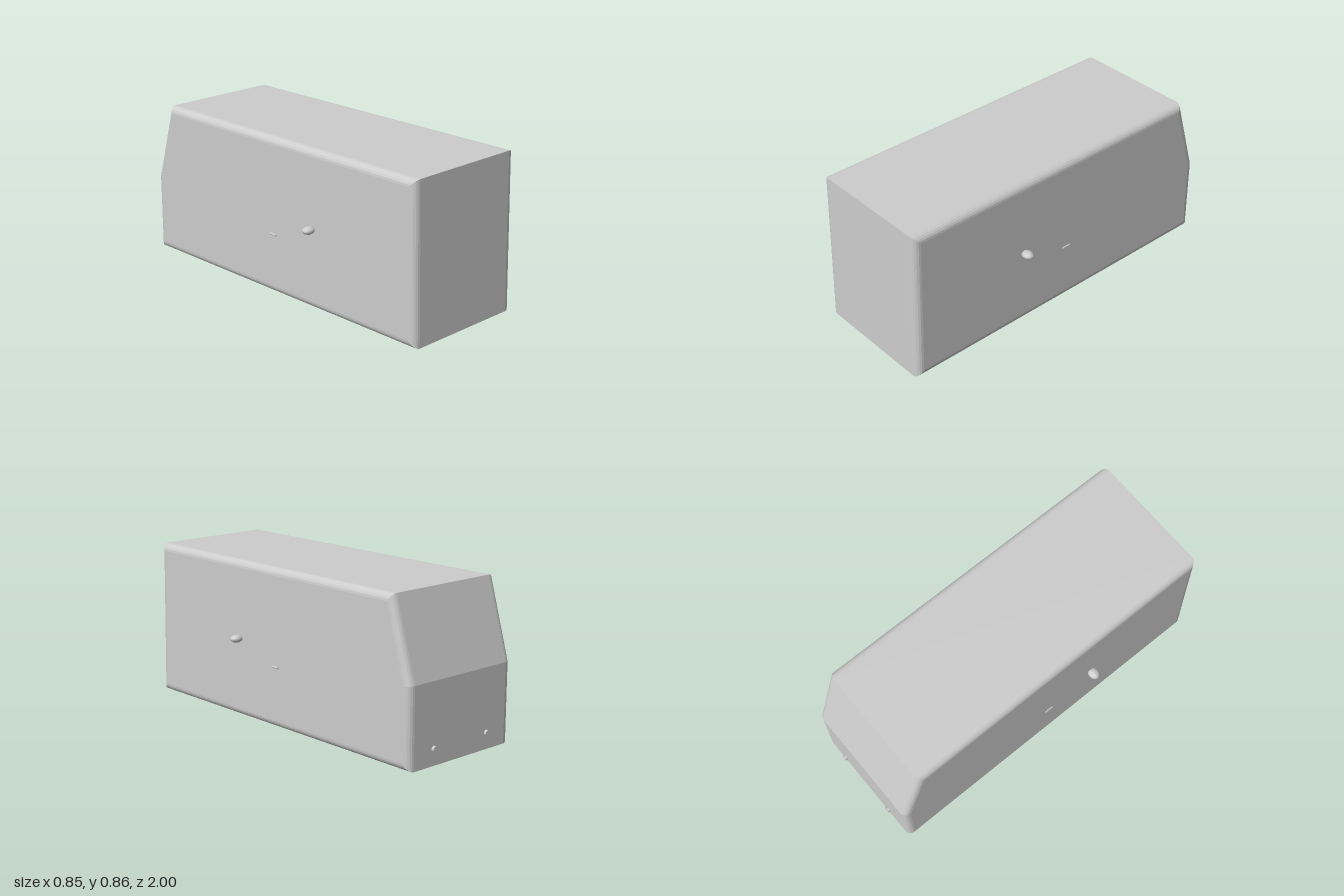
import * as THREE from 'three';

export function createModel() {
  const model = new THREE.Group();
  const grey = new THREE.MeshStandardMaterial({ color: 0xcccccc });
  grey.name = 'lightGrey';

  const add = (name, geometry, x, y, z) => {
    const mesh = new THREE.Mesh(geometry, grey);
    mesh.name = name;
    mesh.position.set(x, y, z);
    model.add(mesh);
    return mesh;
  };

  // Body: side profile (z, y) extruded across the width, with rounded side edges
  const profile = new THREE.Shape([
    [-0.985, 0], [1, 0], [0.98, 0.86], [-0.857, 0.86], [-0.985, 0.43],
  ].map(([z, y]) => new THREE.Vector2(z, y)));
  const bevel = 0.04, halfWidth = 0.366;
  const body = new THREE.ExtrudeGeometry(profile, {
    depth: 2 * (halfWidth - bevel),
    bevelThickness: bevel, bevelSize: bevel, bevelOffset: -bevel, bevelSegments: 5,
  });
  body.translate(0, 0, bevel - halfWidth);
  body.rotateY(-Math.PI / 2);
  add('body', body, 0, 0, 0);

  // Details mirrored on both sides
  const knob = new THREE.SphereGeometry(1, 12, 8);
  knob.rotateZ(Math.PI / 2);
  knob.scale(0.036, 0.021, 0.03);
  const slot = new THREE.CylinderGeometry(0.006, 0.006, 0.05, 8);
  slot.rotateX(Math.PI / 2);
  const peg = new THREE.CylinderGeometry(0.016, 0.016, 0.03, 10);
  peg.rotateX(Math.PI / 2);
  for (const [side, s] of [['left', 1], ['right', -1]]) {
    add(side + 'Knob', knob, s * 0.389, 0.437, 0.285);
    add(side + 'SidePin', slot, s * 0.367, 0.332, -0.008);
    add(side + 'RearPeg', peg, s * 0.19, 0.088, -0.985);
  }
  return model;
}
